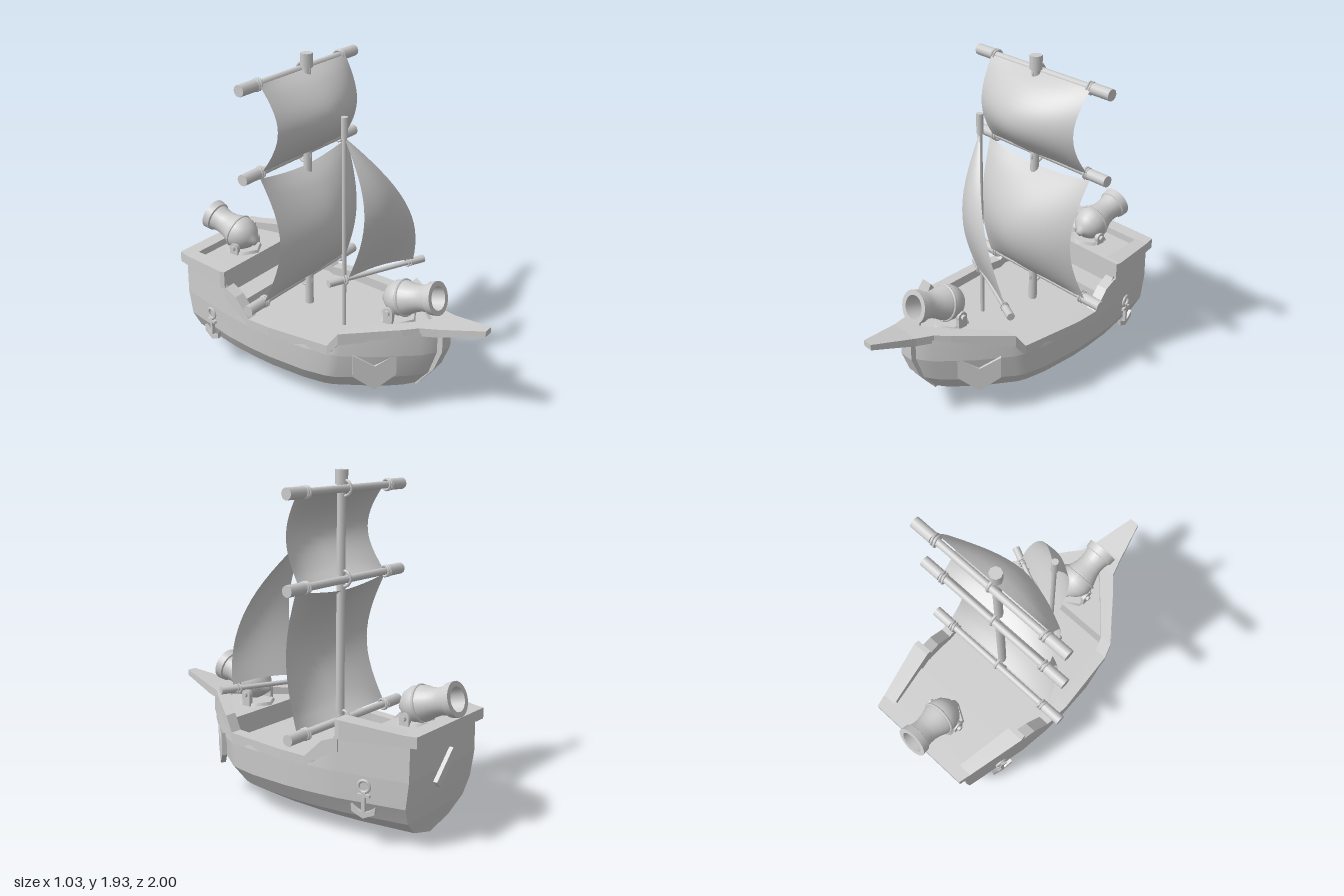
import * as THREE from 'three';

const grey = new THREE.MeshStandardMaterial({ color: 0xcccccc, side: THREE.DoubleSide });

function add(parent, name, geo, x = 0, y = 0, z = 0) {
  const m = new THREE.Mesh(geo, grey);
  m.name = name;
  m.position.set(x, y, z);
  parent.add(m);
  return m;
}

function group(parent, name, x = 0, y = 0, z = 0) {
  const g = new THREE.Group();
  g.name = name;
  g.position.set(x, y, z);
  parent.add(g);
  return g;
}

// Skin over rows of [x, y, z] points
function loft(rows, flat = true) {
  const n = rows[0].length, idx = [];
  for (let i = 0; i < rows.length - 1; i++)
    for (let j = 0; j < n - 1; j++) {
      const a = i * n + j, d = a + n;
      idx.push(a, a + 1, d + 1, a, d + 1, d);
    }
  let g = new THREE.BufferGeometry();
  g.setAttribute('position', new THREE.Float32BufferAttribute(rows.flat(2), 3));
  g.setIndex(idx);
  if (flat) g = g.toNonIndexed();
  g.computeVertexNormals();
  return g;
}

// Symmetric plan outline given as [x, z] of one half, raised from y0 to y1
function prism(half, y0, y1) {
  const pts = [...half, ...half.map(([x, z]) => [-x, z]).reverse()];
  const s = new THREE.Shape(pts.map(([x, z]) => new THREE.Vector2(x, -z)));
  return new THREE.ExtrudeGeometry(s, { depth: y1 - y0, bevelEnabled: false }).rotateX(-Math.PI / 2).translate(0, y0, 0);
}

function plate(pts, depth) {
  return new THREE.ExtrudeGeometry(new THREE.Shape(pts.map(p => new THREE.Vector2(...p))), { depth, bevelEnabled: false });
}

function buildHull(root) {
  const hull = group(root, 'hull', -0.013);
  // Sheer stations: z, half width factor, top height
  const st = [[-.9, .73, .6], [-.5, .93, .6], [-.42, .95, .5], [-.31, .98, .42], [-.15, 1, .42], [.1, .985, .42],
    [.25, .93, .42], [.31, .88, .48], [.5, .6, .5], [.67, .28, .53], [.74, .06, .54]];
  // Water lines: height, half width, stern z, bow z
  const levels = [[0, .445, -.9, .73], [.39, .45, -.9, .73], [.24, .445, -.88, .68], [.14, .38, -.865, .6],
    [.05, .235, -.84, .44], [0, 0, -.83, .31]];
  const rows = levels.map(([y, w, zs, zb], k) => {
    const side = st.map(([z, f, top]) => [w * f, k ? y : top, zs + (zb - zs) * (z + .9) / 1.64]);
    return [...side, ...side.map(([x, yy, z]) => [-x, yy, z]).reverse()];
  });
  // Each strake is smooth along its length, with a hard edge to the next
  for (let i = 0; i < rows.length - 1; i++) add(hull, 'strake', loft([rows[i], rows[i + 1]], false));
  add(hull, 'transom', loft(rows.map(r => [r[r.length - 1], r[0]])));

  // Rails: z, outer x, inner x, top y, bottom y
  const gunwale = [[1, .03, 0, .615, .58], [.75, .095, 0, .57, .52], [.65, .127, 0, .56, .51], [.58, .19, .08, .555, .5],
    [.3, .41, .335, .535, .465], [.24, .428, .355, .45, .39], [-.15, .458, .39, .445, .39], [-.31, .448, .38, .44, .385],
    [-.415, .434, .365, .545, .455], [-.51, .423, .35, .58, .5]];
  const quarter = [[-.5, .43, .33, .68, .575], [-.53, .435, .33, .68, .575], [-.945, .333, .255, .64, .585]];
  for (const [name, list] of [['gunwale', gunwale], ['quarterRail', quarter]])
    for (const s of [1, -1]) {
      const rings = list.map(([z, o, i, t, b]) => {
        const r = [[o, t], [o, b], [i, b], [i, t], [o, t]].map(([x, y]) => [x * s, y, z]);
        return s > 0 ? r : r.reverse();
      });
      const cap = ([z, o, i, t, b]) => Array(5).fill([s * (o + i) / 2, (t + b) / 2, z]);
      add(hull, name, loft([cap(list[0]), ...rings, cap(list[list.length - 1])]));
    }
  add(hull, 'sternRail', prism([[.333, -.945], [.355, -.855]], .587, .647));

  // Decks
  add(hull, 'mainDeck', prism([[.38, -.6], [.42, -.3], [.43, -.1], [.4, .25], [.34, .34]], .34, .38));
  add(hull, 'deckStep', prism([[.38, -.61], [.405, -.465]], .36, .45));
  add(hull, 'quarterDeck', prism([[.31, -.89], [.385, -.6]], .37, .605));
  add(hull, 'foreDeck', prism([[.36, .31], [.23, .5], [.1, .66]], .37, .5));

  // Stem post
  const stem = plate([[.75, .56], [.75, .4], [.7, .27], [.59, .13], [.54, .16], [.64, .3], [.69, .42], [.69, .56]], .09);
  add(hull, 'stemPost', stem.rotateY(-Math.PI / 2).translate(.045, 0, 0));

  // Plank across the transom
  add(hull, 'sternPlank', new THREE.BoxGeometry(.055, .22, .025), 0, .39, -.912).rotation.z = Math.PI / 4;

  // Bow badges and anchors on both sides
  const badge = [[-.122, .115], [-.122, -.02], [0, -.11], [.122, -.02], [.122, .115], [0, .04]];
  for (const s of [1, -1]) {
    add(hull, 'bowBadge', plate(badge, .03).translate(0, 0, -.015), s * .28, .29, .458).rotation.y = s * .85;
    const anchor = group(hull, 'anchor', s * .386, .25, -.66);
    anchor.rotation.y = s * (Math.PI / 2 + .22);
    add(anchor, 'anchorRing', new THREE.TorusGeometry(.032, .009, 6, 14), 0, .085);
    add(anchor, 'anchorShank', new THREE.BoxGeometry(.02, .13, .02), 0, -.01);
    add(anchor, 'anchorStock', new THREE.BoxGeometry(.07, .016, .02), 0, .035);
    const arms = [[-.07, -.02], [-.065, -.06], [0, -.09], [.065, -.06], [.07, -.02], [.035, -.045], [0, -.06], [-.035, -.045]];
    add(anchor, 'anchorArms', plate(arms, .02).translate(0, 0, -.01));
  }
}

// Spar along x with thick ends and rope bands
function spar(parent, name, half, r, capR, capL, x, y, z) {
  const g = group(parent, name, x, y, z);
  add(g, 'pole', new THREE.CylinderGeometry(r, r, half * 2, 10).rotateZ(Math.PI / 2));
  for (const s of [1, -1]) {
    add(g, 'sparEnd', new THREE.CylinderGeometry(capR, capR, capL, 10).rotateZ(Math.PI / 2), s * (half - capL / 2));
    for (const k of [.008, .026])
      add(g, 'ropeBand', new THREE.TorusGeometry(capR * .92, r * .35, 6, 12).rotateY(Math.PI / 2 + s * .15), s * (half - capL - k));
  }
  return g;
}

// Smooth sail surface from a rule f(u, v), both 0 to 1
function sail(parent, name, f) {
  const rows = [];
  for (let i = 0; i <= 16; i++) {
    rows.push([]);
    for (let j = 0; j <= 16; j++) rows[i].push(f(1 - j / 16, i / 16));
  }
  add(parent, name, loft(rows, false));
}

function buildRig(root) {
  const main = group(root, 'mainRig');
  add(main, 'mainMast', new THREE.CylinderGeometry(.025, .025, 1.52, 8), 0, 1.12, -.217);
  add(main, 'mastCap', new THREE.CylinderGeometry(.036, .036, .08, 8), 0, 1.89, -.217);
  for (const y of [1.83, 1.335, .535]) {
    spar(main, 'yard', .515, .021, .033, .13, 0, y, -.262);
    for (const t of [.5, -.5])
      add(main, 'yardLashing', new THREE.TorusGeometry(.043, .009, 6, 14).rotateY(Math.PI / 2).rotateX(t), 0, y, -.24);
  }
  // Square sails: top, bottom, half width, waist, dip of the head
  const square = (name, y1, y0, w, waist, dip) => sail(main, name, (u, v) => {
    const a = u * 2 - 1, c = 1 - Math.abs(a) ** 1.7, b = Math.max(0, Math.sin(Math.PI * v));
    return [.005 + a * (w - waist * b), y1 + (y0 - y1) * v - dip * c * (1 - v),
      -.235 + .1 * b + .115 * c * b ** .65];
  });
  square('topSail', 1.835, 1.345, .385, .02, 0);
  square('mainSail', 1.315, .55, .405, .035, .045);

  const fore = group(root, 'foreRig');
  add(fore, 'foreMast', new THREE.CylinderGeometry(.013, .013, 1.25, 8), -.097, 1.005, .11);
  add(fore, 'foreMastCap', new THREE.CylinderGeometry(.02, .02, .115, 8), -.097, 1.595, .11);
  const boom = spar(fore, 'boom', .325, .014, .023, .09, .1, .678, .205);
  boom.rotation.y = -.42;
  add(fore, 'boomLashing', new THREE.TorusGeometry(.026, .007, 6, 12).rotateY(1.15), -.097, .678, .118);
  sail(fore, 'triangleSail', (u, t) => {
    const v = 1 - t, b = Math.sin(Math.PI * v);
    return [-.1 + u * .42 * (1 - v ** 1.6), .7 + .84 * v + .02 * Math.sin(Math.PI * u) * (1 - v),
      .145 - .035 * v + .12 * b + u * .17 * (1 - v) + .03 * b * Math.sin(Math.PI * u)];
  });
}

function buildCannon(root, name, y, z, deck, turn) {
  const g = group(root, name, -.012, y, z);
  g.rotation.y = turn;
  // Barrel profile: radius, distance along the bore
  const profile = [[0, -.125], [.022, -.12], [.028, -.105], [.055, -.09], [.085, -.06], [.102, -.02], [.104, .015], [.096, .05],
    [.082, .09], [.075, .13], [.076, .16], [.083, .195], [.083, .195], [.092, .2], [.092, .2], [.097, .245], [.097, .245],
    [.068, .245], [.068, .245], [.062, .1], [.062, .1], [0, .1]];
  const barrel = new THREE.LatheGeometry(profile.map(p => new THREE.Vector2(...p)), 24);
  add(g, 'barrel', barrel).rotation.x = Math.PI / 2 - .29;
  add(g, 'barrelBand', new THREE.TorusGeometry(.102, .008, 6, 24), 0, .007, .025).rotation.x = -.29;
  const h = -.07 - deck;
  add(g, 'trunnion', new THREE.CylinderGeometry(.016, .016, .25, 10).rotateZ(Math.PI / 2), 0, -.06, -.025);
  add(g, 'mountBase', new THREE.CylinderGeometry(.105, .115, .02, 6), 0, deck + .008, -.02);
  for (const s of [1, -1]) {
    add(g, 'mountCheek', new THREE.BoxGeometry(.025, h, .06), s * .095, deck + h / 2, -.025);
    add(g, 'mountEye', new THREE.CylinderGeometry(.032, .032, .025, 14).rotateZ(Math.PI / 2), s * .095, -.062, -.025);
  }
}

export function createModel() {
  const root = new THREE.Group();
  root.name = 'sailingShip';
  buildHull(root);
  buildRig(root);
  buildCannon(root, 'bowCannon', .63, .45, -.13, 0);
  buildCannon(root, 'sternCannon', .706, -.74, -.101, Math.PI);
  return root;
}
